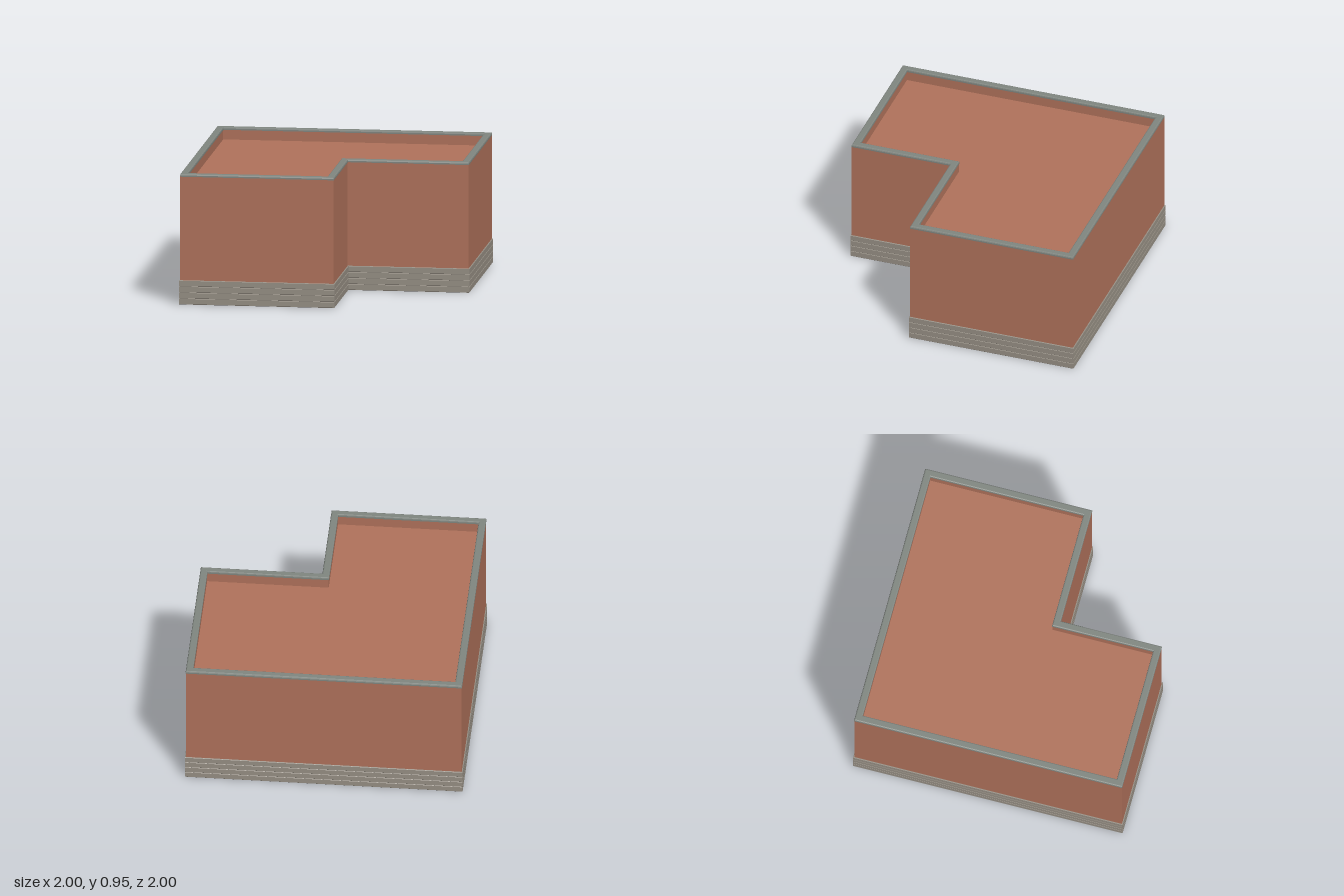
import * as THREE from 'three';

// L-shaped outline as [x, z], moved inwards by d
const outline = (d) => [
  [-1 + d, -1 + d], [1 - d, -1 + d], [1 - d, 0.25 - d],
  [0.125 - d, 0.25 - d], [0.125 - d, 1 - d], [-1 + d, 1 - d],
];

// Sweeps a closed profile of [inset, y] points around the outline with mitred corners
function ring(profile) {
  const pos = [];
  profile.forEach(([d0, y0], i) => {
    const [d1, y1] = profile[(i + 1) % profile.length];
    const lo = outline(d0), hi = outline(d1);
    lo.forEach((p, k) => {
      const n = (k + 1) % lo.length;
      const a = [p[0], y0, p[1]], b = [hi[k][0], y1, hi[k][1]];
      const c = [hi[n][0], y1, hi[n][1]], e = [lo[n][0], y0, lo[n][1]];
      pos.push(...a, ...b, ...c, ...a, ...c, ...e);
    });
  });
  const geo = new THREE.BufferGeometry();
  geo.setAttribute('position', new THREE.Float32BufferAttribute(pos, 3));
  geo.computeVertexNormals();
  return geo;
}

export function createModel() {
  const group = new THREE.Group();
  const brick = new THREE.MeshStandardMaterial({ color: 0xb0725b });
  const stone = new THREE.MeshStandardMaterial({ color: 0x968f84 });
  const metal = new THREE.MeshStandardMaterial({ color: 0x808680 });
  const add = (name, geo, mat) => {
    const mesh = new THREE.Mesh(geo, mat);
    mesh.name = name;
    group.add(mesh);
  };

  // Walls, open underneath, rising above the roof as a parapet
  const out = 0.007, inn = 0.055, wallTop = 0.93;
  add('walls', ring([[out, 0], [out, wallTop], [inn, wallTop], [inn, 0]]), brick);

  // Plinth of four courses with fine grooves between them
  const courses = 4, h = 0.176 / courses, g = 0.003;
  const plinth = [];
  for (let i = 0; i < courses; i++) {
    const y = i * h;
    plinth.push([g, y], [0, y + g], [0, y + h - g], [g, y + h]);
  }
  plinth.push([out, courses * h], [out, 0]);
  add('plinth', ring(plinth), stone);

  // Coping with softened upper edges
  add('coping', ring([
    [0.005, wallTop], [0.005, 0.94], [0.008, 0.947], [0.014, 0.95],
    [0.05, 0.95], [0.056, 0.947], [0.058, 0.94], [0.058, wallTop],
  ]), metal);

  // Flat roof slab, sunk between the parapets
  const shape = new THREE.Shape(outline(inn).map(([x, z]) => new THREE.Vector2(x, z)));
  const slab = new THREE.ExtrudeGeometry(shape, { depth: 0.05, bevelEnabled: false });
  slab.rotateX(Math.PI / 2).translate(0, 0.86, 0);
  add('roof', slab, brick);

  return group;
}
